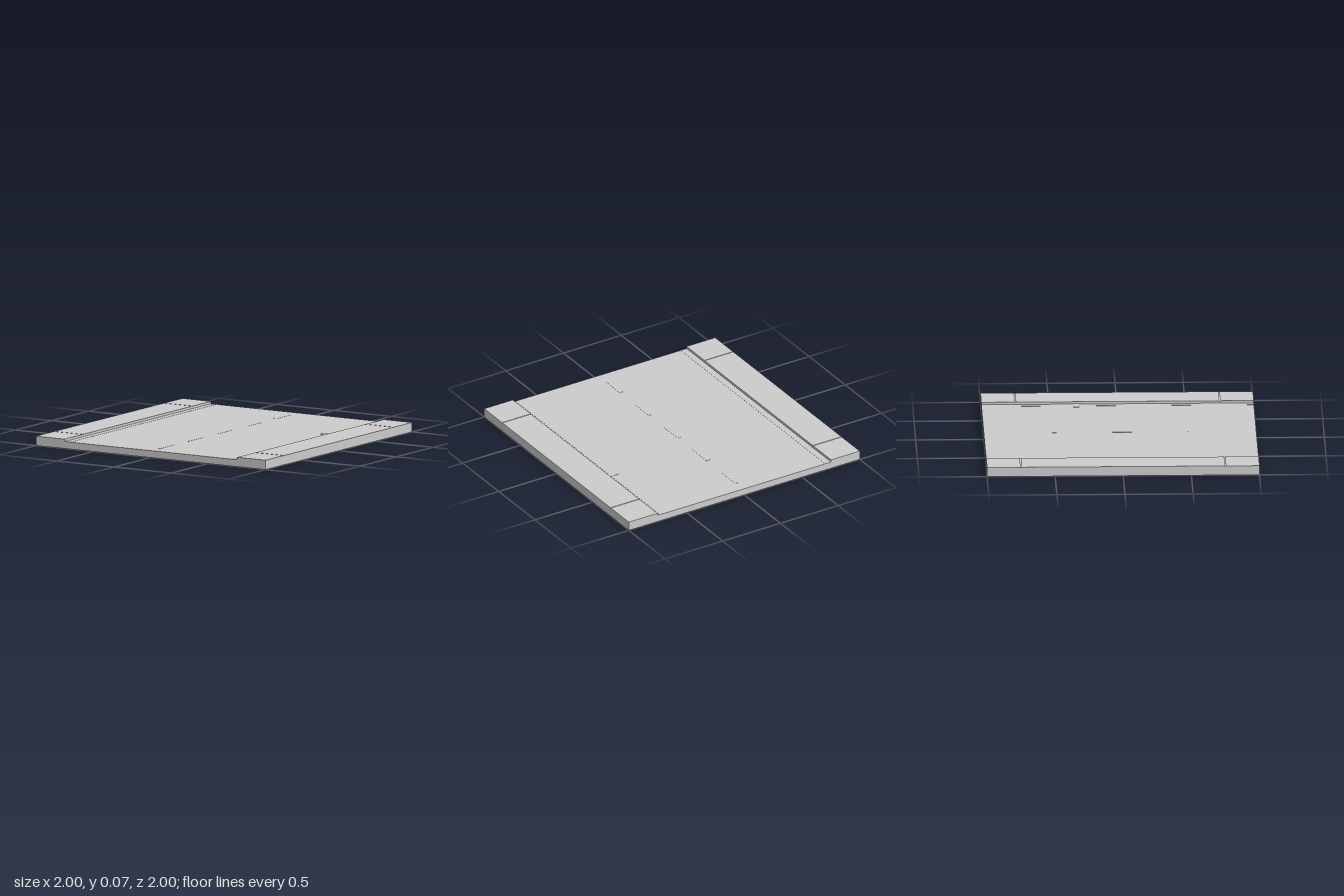
import * as THREE from 'three';

export function createModel() {
  const model = new THREE.Group();
  model.name = 'roadTile';
  const concrete = new THREE.MeshStandardMaterial({ color: 0xcccccc });
  concrete.name = 'pale grey concrete';

  const ROAD_TOP = 0.052, WALK_TOP = 0.07, WALK_INNER = 0.752;

  // Box given by its extents on each axis
  function slab(name, [x0, x1], [y0, y1], [z0, z1]) {
    const mesh = new THREE.Mesh(new THREE.BoxGeometry(x1 - x0, y1 - y0, z1 - z0), concrete);
    mesh.position.set((x0 + x1) / 2, (y0 + y1) / 2, (z0 + z1) / 2);
    mesh.name = name;
    model.add(mesh);
    return mesh;
  }

  // Roadway
  slab('road', [-WALK_INNER, WALK_INNER], [0, ROAD_TOP], [-1, 1]);

  // Pavement slabs, with narrow joints near both ends, and painted edge lines
  const joint = 0.004;
  const spans = [[-1, -0.75 - joint], [-0.75 + joint, 0.75 - joint], [0.75 + joint, 1]];
  for (const side of [-1, 1]) {
    const label = side > 0 ? 'left' : 'right';
    const across = (a, b) => (side > 0 ? [a, b] : [-b, -a]);
    spans.forEach((span, i) =>
      slab(`${label}Pavement${i + 1}`, across(WALK_INNER, 1), [0, WALK_TOP], span));
    for (const z of [-0.75, 0.75]) {
      slab(`${label}Joint`, across(WALK_INNER, 0.998), [0.002, WALK_TOP - 0.004], [z - joint, z + joint]);
    }
    slab(`${label}EdgeLine`, across(0.7, 0.73), [ROAD_TOP, ROAD_TOP + 0.001], [-1, 1]);
  }

  // Dashed centre line
  for (let i = -2; i <= 2; i++) {
    const z = i * 0.4;
    slab('centreDash', [-0.015, 0.015], [ROAD_TOP, ROAD_TOP + 0.001], [z - 0.1, z + 0.1]);
  }

  // Low rounded ridge at the kerb
  const ridge = new THREE.Mesh(new THREE.CylinderGeometry(0.02, 0.02, 0.092, 12), concrete);
  ridge.geometry.rotateZ(Math.PI / 2).scale(1, 0.25, 1);
  ridge.position.set(0.706, ROAD_TOP, -0.305);
  ridge.name = 'kerbRidge';
  model.add(ridge);

  return model;
}
